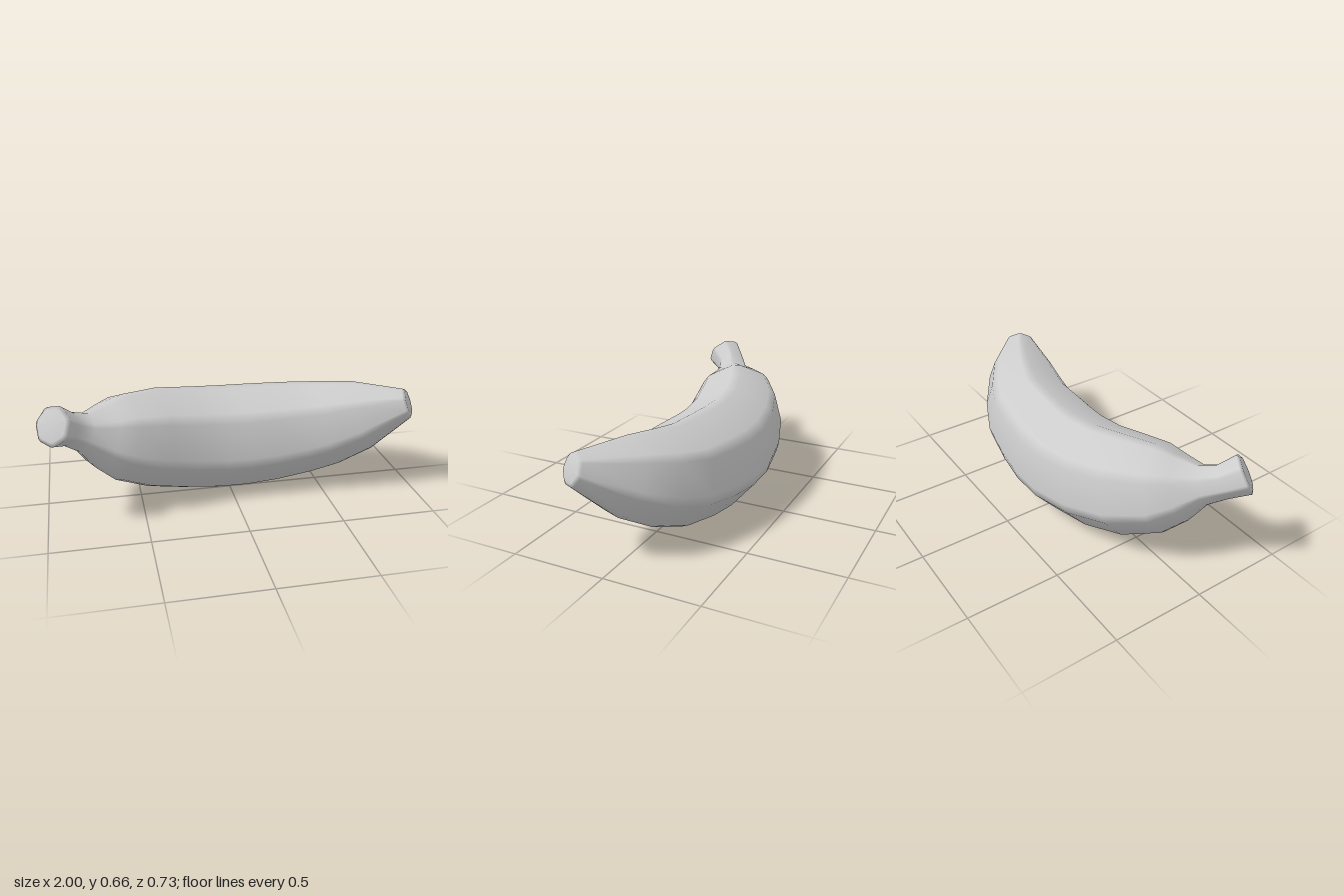
import * as THREE from 'three';

// Stations along the fruit: centre x, y, z and section radius, stem to tip
const STATIONS = [
  [-0.925, 0.575, 0.28, 0.102],
  [-0.865, 0.525, 0.205, 0.086],
  [-0.79, 0.48, 0.16, 0.1],
  [-0.705, 0.435, 0.11, 0.17],
  [-0.615, 0.397, 0.058, 0.228],
  [-0.445, 0.346, -0.02, 0.268],
  [-0.255, 0.305, -0.073, 0.28],
  [-0.06, 0.282, -0.097, 0.287],
  [0.09, 0.28, -0.097, 0.287],
  [0.25, 0.29, -0.085, 0.279],
  [0.44, 0.31, -0.065, 0.262],
  [0.58, 0.345, -0.018, 0.24],
  [0.745, 0.405, 0.05, 0.195],
  [0.948, 0.497, 0.162, 0.084],
];
const RIDGES = 7;
const BEVEL = THREE.MathUtils.degToRad(6);
const FIRST_RIDGE = THREE.MathUtils.degToRad(92);

// Seven-ridged section, each ridge cut by a narrow bevel
const angles = [];
for (let i = 0; i < RIDGES; i++) {
  const a = FIRST_RIDGE + (i * 2 * Math.PI) / RIDGES;
  angles.push(a - BEVEL, a + BEVEL);
}

function createBodyGeometry() {
  const centres = STATIONS.map(([x, y, z]) => new THREE.Vector3(x, y, z));
  const last = centres.length - 1;
  const xAxis = new THREE.Vector3(1, 0, 0);
  const tangents = centres.map((_, i) =>
    centres[Math.min(i + 1, last)].clone().sub(centres[Math.max(i - 1, 0)]).normalize());

  // Rings square to the path, with a small inset ring rounding each end
  const rings = centres.map((c, i) => ({ c, t: tangents[i], r: STATIONS[i][3] }));
  const inset = (ring, offset) => ({
    c: ring.c.clone().addScaledVector(ring.t, offset), t: ring.t, r: ring.r * 0.8,
  });
  rings.unshift(inset(rings[0], -0.012));
  rings.push(inset(rings[rings.length - 1], 0.012));

  const positions = [];
  const indices = [];
  const n = angles.length;
  for (const { c, t, r } of rings) {
    const turn = new THREE.Quaternion().setFromUnitVectors(xAxis, t);
    for (const a of angles) {
      const p = new THREE.Vector3(0, r * Math.sin(a), r * Math.cos(a)).applyQuaternion(turn).add(c);
      positions.push(p.x, p.y, p.z);
    }
  }

  // Skin between rings
  for (let i = 0; i < rings.length - 1; i++) {
    for (let j = 0; j < n; j++) {
      const k = (j + 1) % n;
      const a = i * n + j, b = a + n, c = i * n + k, d = c + n;
      indices.push(a, b, c, b, d, c);
    }
  }

  // End caps
  const endRing = (rings.length - 1) * n;
  const startCentre = rings.length * n;
  for (const ring of [rings[0], rings[rings.length - 1]]) positions.push(...ring.c.toArray());
  for (let j = 0; j < n; j++) {
    const k = (j + 1) % n;
    indices.push(startCentre, j, k, startCentre + 1, endRing + k, endRing + j);
  }

  const geometry = new THREE.BufferGeometry();
  geometry.setAttribute('position', new THREE.Float32BufferAttribute(positions, 3));
  geometry.setIndex(indices);
  geometry.computeVertexNormals();
  return geometry;
}

export function createModel() {
  const group = new THREE.Group();
  group.name = 'banana';
  const material = new THREE.MeshStandardMaterial({ color: 0xcccccc });
  const body = new THREE.Mesh(createBodyGeometry(), material);
  body.name = 'bananaPeel';
  group.add(body);
  return group;
}
